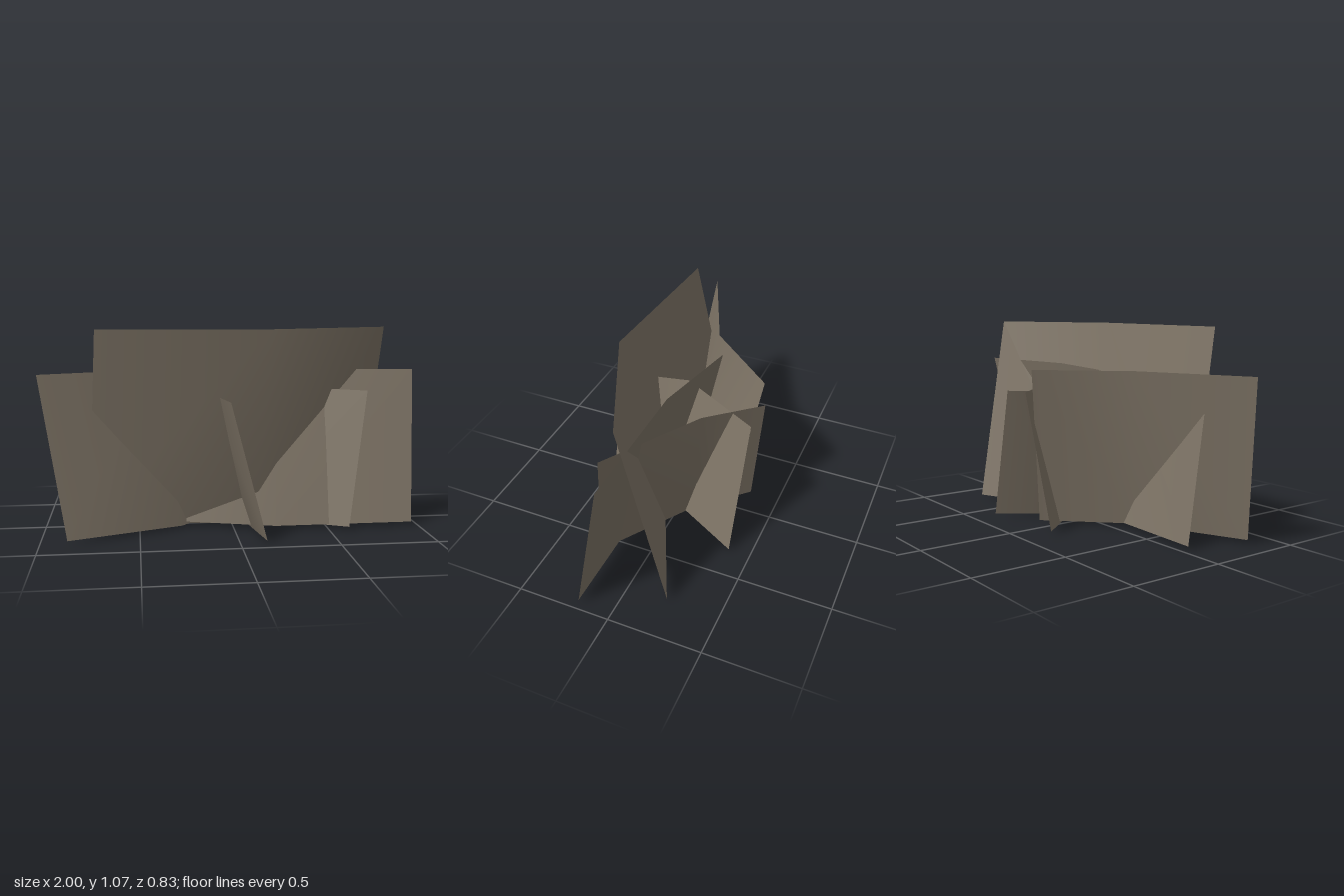
import * as THREE from 'three';

// Crossing foliage cards: each is a smooth, once-bent sheet given by three
// points along its top edge and three along its bottom edge.
const CARDS = {
  tallFrontCard: {
    top: [[-0.71, 1.065, 0.24], [0.18, 1.065, 0.293], [0.84, 1.065, -0.013]],
    bottom: [[-0.768, 0.02, 0.033], [0.125, 0.015, 0.085], [0.78, 0.02, -0.222]],
  },
  rightCard: {
    top: [[-1, 0.843, 0.23], [-0.412, 0.843, -0.017], [-0.068, 0.845, -0.4]],
    bottom: [[-0.862, 0.02, 0.345], [-0.275, 0.015, 0.105], [0.067, 0.02, -0.27]],
  },
  leftCard: {
    top: [[-0.237, 0.843, -0.105], [0.25, 0.843, 0.003], [1, 0.833, 0.01]],
    bottom: [[-0.25, 0.028, 0.073], [0.22, 0.018, 0.178], [0.963, 0.02, 0.182]],
  },
  diagonalCard: {
    top: [[-0.04, 0.73, -0.42], [0.195, 0.735, -0.16], [0.71, 0.735, 0.157]],
    bottom: [[-0.143, 0.015, -0.338], [0.09, 0, -0.08], [0.605, 0.018, 0.24]],
  },
  crossCard: {
    top: [[-0.045, 0.711, 0.397], [-0.113, 0.715, 0.04], [0.15, 0.722, -0.41]],
    bottom: [[0.138, 0.008, 0.415], [0.08, 0.005, 0.06], [0.338, 0.018, -0.385]],
  },
};

function bentCard({ top, bottom }) {
  const geometry = new THREE.BufferGeometry();
  const points = [...top, ...bottom].flat();
  geometry.setAttribute('position', new THREE.Float32BufferAttribute(points, 3));
  const index = [];
  for (let i = 0; i < 2; i++) index.push(i, i + 3, i + 1, i + 1, i + 3, i + 4);
  geometry.setIndex(index);
  geometry.computeVertexNormals();
  return geometry;
}

export function createModel() {
  const model = new THREE.Group();
  model.name = 'foliageCards';
  const foliage = new THREE.MeshStandardMaterial({ color: 0x7d7365, side: THREE.DoubleSide });
  foliage.name = 'dryFoliage';
  for (const [name, edges] of Object.entries(CARDS)) {
    const card = new THREE.Mesh(bentCard(edges), foliage);
    card.name = name;
    model.add(card);
  }
  return model;
}
